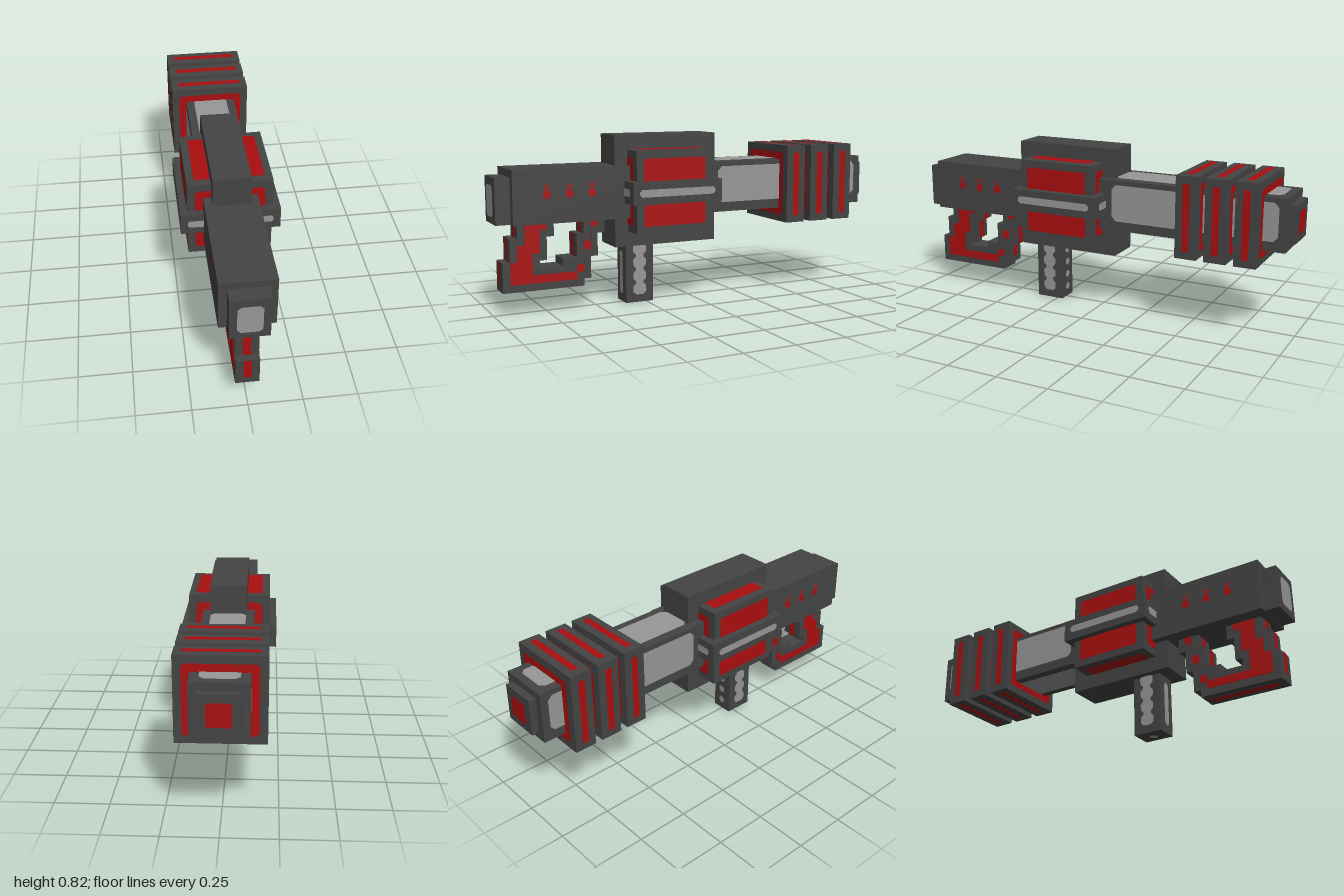
import * as THREE from 'three';

const gunmetal = new THREE.MeshStandardMaterial({ color: 0x444444, name: 'gunmetal' });
const red = new THREE.MeshStandardMaterial({ color: 0xab0e0e, name: 'red' });
const dullRed = new THREE.MeshStandardMaterial({ color: 0x8a2a2a, name: 'dull red' });
const silver = new THREE.MeshStandardMaterial({ color: 0x979797, name: 'silver' });

const LIFT = 0.003;
const FACES = {
  front: [0, 0, 0, 0, 0, 1], back: [0, Math.PI, 0, 0, 0, -1],
  left: [0, Math.PI / 2, 0, 1, 0, 0], right: [0, -Math.PI / 2, 0, -1, 0, 0],
  top: [-Math.PI / 2, 0, 0, 0, 1, 0], bottom: [Math.PI / 2, 0, 0, 0, -1, 0],
};

const polygon = (pts) => new THREE.Shape(pts.map(([x, y]) => new THREE.Vector2(x, y)));

// rectangle with clipped corners, centred on the origin
function clipped(w, h, c) {
  const a = w / 2, b = h / 2;
  return polygon([[-a + c, -b], [a - c, -b], [a, -b + c], [a, b - c], [a - c, b], [-a + c, b], [-a, b - c], [-a, -b + c]]);
}

export function createModel() {
  const model = new THREE.Group();
  model.name = 'blaster';

  const add = (name, geometry, material) => {
    const mesh = new THREE.Mesh(geometry, material);
    mesh.name = name;
    model.add(mesh);
    return mesh;
  };

  // box from its limits; hx is half the width
  const block = (name, hx, y0, y1, z0, z1) => {
    const g = new THREE.BoxGeometry(2 * hx, y1 - y0, z1 - z0);
    g.translate(0, (y0 + y1) / 2, (z0 + z1) / 2);
    return add(name, g, gunmetal);
  };

  // painted detail lying just above a face
  const decal = (name, shape, material, face, x, y, z) => {
    const [rx, ry, rz, nx, ny, nz] = FACES[face];
    const mesh = add(name, new THREE.ShapeGeometry(shape, 4), material);
    mesh.rotation.set(rx, ry, rz);
    mesh.position.set(x + nx * LIFT, y + ny * LIFT, z + nz * LIFT);
  };
  const bothSides = (name, shape, material, x, y, z) => {
    decal(name, shape, material, 'left', x, y, z);
    decal(name, shape, material, 'right', -x, y, z);
  };

  // rear receiver with end cap and indicator lights
  block('receiver', 0.125, 0.43, 0.68, 0.1, 0.93);
  block('endCap', 0.088, 0.432, 0.645, 0.9, 1.0);
  decal('endCapPanel', clipped(0.11, 0.146, 0.016), silver, 'front', 0, 0.537, 1.0);
  for (const z of [0.772, 0.664, 0.556]) {
    bothSides('indicatorLower', clipped(0.036, 0.036, 0.008), red, 0.125, 0.564, z);
    bothSides('indicatorUpper', clipped(0.03, 0.03, 0.01), dullRed, 0.125, 0.597, z);
  }

  // tall central housing
  block('centreHousing', 0.088, 0.288, 0.822, -0.105, 0.428);

  // side pods with red panels on every face
  block('sidePods', 0.197, 0.36, 0.752, -0.033, 0.361);
  const frame = clipped(0.324, 0.322, 0.014);
  bothSides('podSidePanel', clipped(0.322, 0.322, 0.004), red, 0.197, 0.555, 0.164);
  decal('podFrontPanel', frame, red, 'front', 0, 0.556, 0.361);
  decal('podBackPanel', frame, red, 'back', 0, 0.556, -0.033);
  decal('podTopPanel', clipped(0.324, 0.322, 0.004), red, 'top', 0, 0.752, 0.164);
  decal('podBottomPanel', clipped(0.324, 0.322, 0.004), red, 'bottom', 0, 0.36, 0.164);

  // horizontal rails
  block('sideRails', 0.232, 0.502, 0.609, -0.07, 0.393);
  bothSides('railStrip', clipped(0.395, 0.036, 0.012), silver, 0.232, 0.556, 0.164);
  for (const x of [-0.155, 0.155]) {
    decal('railEndFront', clipped(0.086, 0.036, 0.008), silver, 'front', x, 0.556, 0.393);
    decal('railEndBack', clipped(0.086, 0.036, 0.008), silver, 'back', x, 0.556, -0.07);
  }

  // barrel and muzzle
  block('barrel', 0.125, 0.43, 0.68, -0.965, 0.1);
  block('muzzle', 0.089, 0.467, 0.645, -1.0, -0.95);
  decal('muzzlePanel', clipped(0.106, 0.106, 0.006), red, 'back', 0, 0.556, -1.0);
  bothSides('barrelSidePanel', clipped(0.825, 0.18, 0.022), silver, 0.125, 0.567, -0.517);
  const barrelLong = clipped(0.17, 0.825, 0.022);
  decal('barrelTopPanel', barrelLong, silver, 'top', 0, 0.68, -0.517);
  decal('barrelBottomPanel', barrelLong, silver, 'bottom', 0, 0.43, -0.517);

  // three barrel rings
  for (const z of [-0.517, -0.66, -0.802]) {
    block('barrelRing', 0.197, 0.36, 0.752, z - 0.053, z + 0.053);
    bothSides('ringSideStripe', clipped(0.034, 0.322, 0.004), red, 0.197, 0.556, z);
    decal('ringTopStripe', clipped(0.324, 0.034, 0.004), red, 'top', 0, 0.752, z);
    decal('ringBottomStripe', clipped(0.324, 0.034, 0.004), red, 'bottom', 0, 0.36, z);
    decal('ringFrontPanel', frame, red, 'front', 0, 0.556, z + 0.053);
    decal('ringBackPanel', frame, red, 'back', 0, 0.556, z - 0.053);
  }

  // foregrip with scalloped side panels and studs
  block('foregrip', 0.054, 0, 0.3, 0.218, 0.361);
  const rightEdge = [];
  for (let i = 0; i < 4; i++) {
    const y = -0.125 + i * 0.0665;
    rightEdge.push([0.02, y], [0.034, y + 0.014], [0.034, y + 0.042], [0.02, y + 0.056]);
  }
  const leftEdge = rightEdge.map(([x, y]) => [-x, y]).reverse();
  bothSides('foregripSidePanel', polygon([...rightEdge, ...leftEdge]), silver, 0.054, 0.163, 0.29);
  decal('foregripFrontPanel', clipped(0.036, 0.215, 0.012), silver, 'front', 0, 0.147, 0.361);
  const stud = clipped(0.036, 0.036, 0.01);
  for (const y of [0.055, 0.122, 0.189, 0.256]) decal('foregripStud', stud, silver, 'back', 0, y, 0.218);
  decal('foregripBaseStud', stud, silver, 'bottom', 0, 0, 0.29);

  // stepped handle loop, drawn as (z, y) and extruded across x
  const across = (name, pts, width, material) => {
    const g = new THREE.ExtrudeGeometry(polygon(pts), { depth: width, bevelEnabled: false });
    g.translate(0, 0, -width / 2);
    g.rotateY(-Math.PI / 2);
    add(name, g, material);
  };
  across('handle', [
    [0.895, 0.44], [0.895, 0.36], [0.931, 0.36], [0.931, 0.25], [0.966, 0.25], [0.966, 0.11],
    [0.575, 0.11], [0.575, 0.145], [0.54, 0.145], [0.54, 0.25], [0.505, 0.25], [0.505, 0.36], [0.47, 0.36], [0.47, 0.44],
    [0.575, 0.44], [0.575, 0.36], [0.61, 0.36], [0.61, 0.25], [0.645, 0.25], [0.68, 0.25], [0.68, 0.215],
    [0.79, 0.215], [0.79, 0.25], [0.755, 0.25], [0.755, 0.36], [0.72, 0.36], [0.72, 0.44],
  ], 0.108, gunmetal);
  across('handleInlay', [
    [0.86, 0.435], [0.86, 0.325], [0.895, 0.325], [0.895, 0.25], [0.93, 0.25], [0.93, 0.145],
    [0.61, 0.145], [0.61, 0.18], [0.575, 0.18], [0.575, 0.285], [0.54, 0.285], [0.54, 0.395], [0.505, 0.395], [0.505, 0.435],
    [0.54, 0.435], [0.54, 0.325], [0.575, 0.325], [0.575, 0.215], [0.61, 0.215], [0.61, 0.183],
    [0.825, 0.183], [0.825, 0.285], [0.79, 0.285], [0.79, 0.395], [0.755, 0.395], [0.755, 0.435],
  ], 0.108 + 2 * LIFT, red);

  // red stripes on the handle edges: face, z, lowest y, highest y
  const stripes = [
    ['front', 0.895, 0.36, 0.43], ['front', 0.931, 0.25, 0.36], ['front', 0.966, 0.145, 0.25],
    ['front', 0.61, 0.25, 0.36], ['front', 0.575, 0.36, 0.43],
    ['back', 0.54, 0.18, 0.25], ['back', 0.505, 0.25, 0.36], ['back', 0.47, 0.36, 0.43],
    ['back', 0.755, 0.25, 0.36], ['back', 0.72, 0.36, 0.43],
  ];
  for (const [face, z, y0, y1] of stripes) {
    decal('handleStripe', clipped(0.036, y1 - y0, 0.002), red, face, 0, (y0 + y1) / 2, z);
  }
  decal('handleBaseStripe', clipped(0.036, 0.32, 0.008), red, 'bottom', 0, 0.11, 0.77);

  return model;
}
